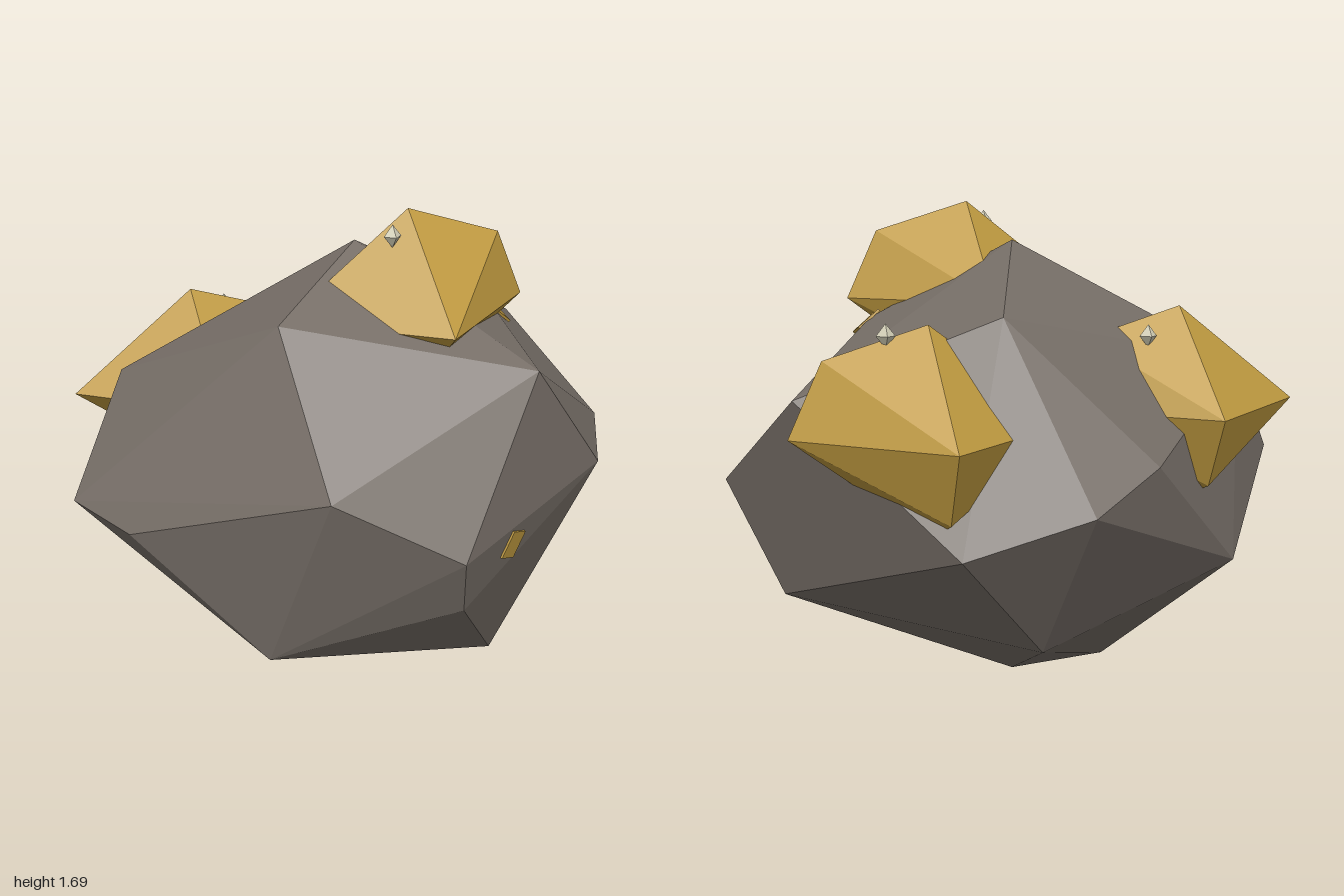
import * as THREE from 'three';
import { ConvexGeometry } from 'three/addons/geometries/ConvexGeometry.js';

const flat = (name, color) => {
  const m = new THREE.MeshStandardMaterial({ color, flatShading: true });
  m.name = name;
  return m;
};

// Convex low-poly solid from a few corner points
const hull = (corners) => new ConvexGeometry(corners.map((c) => new THREE.Vector3(...c)));

export function createModel() {
  const stone = flat('stone grey', 0x756d66);
  const gold = flat('gold', 0xbd983f);
  const sparkle = flat('pale sparkle', 0xd2ceb6);
  const model = new THREE.Group();
  model.name = 'oreBoulder';

  const add = (name, geometry, material, position = [0, 0, 0]) => {
    const mesh = new THREE.Mesh(geometry, material);
    mesh.name = name;
    mesh.position.set(...position);
    model.add(mesh);
    return mesh;
  };

  // Boulder: faceted, slightly irregular rock
  add('boulder', hull([
    [0, 1.56, 0], [0, 0, 0], [1, 0.78, 0], [-1, 0.78, 0], [0, 0.78, 0.88], [0, 0.78, -0.86],
    // front
    [0.36, 1.26, 0.63], [-0.38, 0.99, 0.75], [-0.38, 1.4, 0.31], [0.72, 0.82, 0.46],
    [0.04, 0.57, 0.8], [0.36, 0.12, 0.4], [-0.5, 0.34, 0.5], [-0.87, 0.74, 0.23],
    // sides
    [0.83, 0.4, -0.12], [0.82, 1.1, -0.41], [-0.77, 1.14, -0.2], [0.49, 1.3, 0.06],
    // back and underside
    [0.2, 1.35, -0.57], [0.39, 0.66, -0.79], [0.06, 0.26, -0.54],
    [-0.24, 0.9, -0.76], [-0.65, 0.49, -0.46], [-0.33, 0.04, -0.05],
  ]), stone);

  // Gold nuggets: lopsided eight-sided lumps sunk into the rock;
  // the first one points its tip forward, the other two backward
  const nugget = hull([
    [0, 0.33, 0], [0, -0.33, 0], [0.43, 0, 0], [-0.43, 0, 0], [0, 0, 0.365], [0, 0, -0.365],
    [0.32, 0.23, 0.02], [0, -0.23, -0.26],
  ]);
  [[0.12, 1.36, 0.16], [-0.48, 1.02, -0.34], [0.42, 1.0, -0.52]]
    .forEach((p, i) => add(`nugget${i + 1}`, nugget, gold, p));

  // Sparkles: tiny crystals on the nuggets
  const crystal = new THREE.OctahedronGeometry(0.03);
  crystal.scale(1, 1.25, 1);
  [[0.04, 1.62, 0.22], [-0.34, 1.26, -0.41], [0.55, 1.3, -0.52]]
    .forEach((p, i) => add(`sparkle${i + 1}`, crystal, sparkle, p));

  // Gold flecks: thin square plates lying on the rock faces [centre, normal, roll]
  const fleck = new THREE.BoxGeometry(0.095, 0.095, 0.009);
  [
    [[0.25, 0.72, 0.717], [0.5, -0.22, 0.84], -0.4],
    [[0.69, 0.57, 0.293], [0.77, -0.44, 0.46], 0.78],
    [[0.5, 1.285, 0.08], [0.64, 0.75, 0.17], 0.4],
  ].forEach(([p, n, roll], i) => {
    const mesh = add(`fleck${i + 1}`, fleck, gold, p);
    mesh.lookAt(p[0] + n[0], p[1] + n[1], p[2] + n[2]);
    mesh.rotateZ(roll);
  });

  return model;
}
